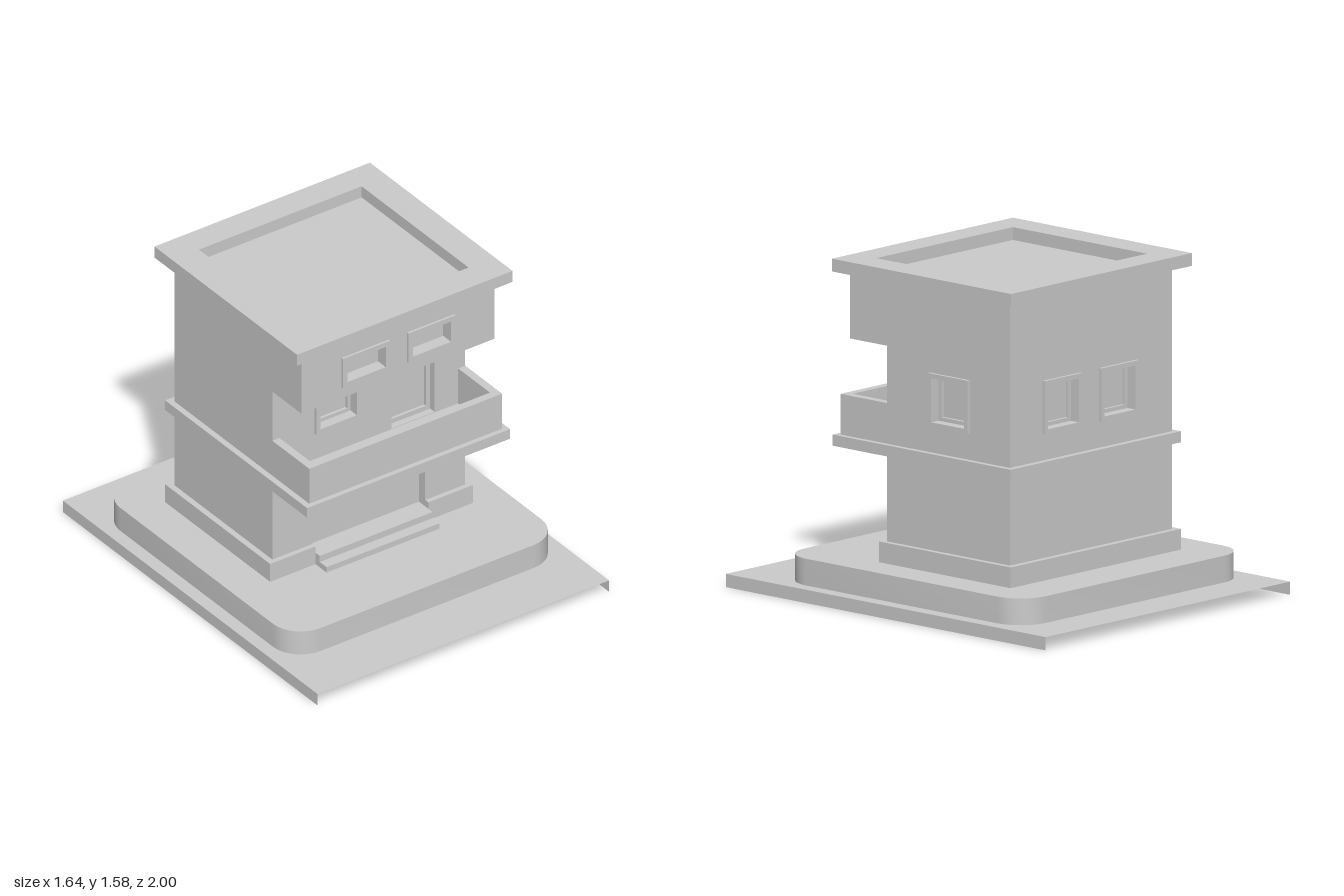
import * as THREE from 'three';
import { toCreasedNormals } from 'three/addons/utils/BufferGeometryUtils.js';

const grey = new THREE.MeshStandardMaterial({ color: 0xcccccc });
const greyThin = new THREE.MeshStandardMaterial({ color: 0xcccccc, side: THREE.DoubleSide });

function add(parent, name, geometry, material = grey) {
  const mesh = new THREE.Mesh(geometry, material);
  mesh.name = name;
  parent.add(mesh);
  return mesh;
}

// Box given by its limits on each axis
function box(parent, name, [x0, x1], [y0, y1], [z0, z1]) {
  const g = new THREE.BoxGeometry(x1 - x0, y1 - y0, z1 - z0);
  g.translate((x0 + x1) / 2, (y0 + y1) / 2, (z0 + z1) / 2);
  return add(parent, name, g);
}

function trace(path, [x0, x1, y0, y1]) {
  path.moveTo(x0, y0);
  path.lineTo(x1, y0);
  path.lineTo(x1, y1);
  path.lineTo(x0, y1);
  path.closePath();
  return path;
}

// Upright plate with rectangular holes, from z = back to z = front
function plate(parent, name, rect, holes, back, front) {
  const shape = trace(new THREE.Shape(), rect);
  for (const h of holes) shape.holes.push(trace(new THREE.Path(), h));
  const g = new THREE.ExtrudeGeometry(shape, { depth: front - back, bevelEnabled: false });
  g.translate(0, 0, back);
  return add(parent, name, g);
}

const inset = ([x0, x1, y0, y1], d) => [x0 + d, x1 - d, y0 + d, y1 - d];

const WALL = 0.07;

// Wall facing local +z with recessed openings: { rect, rim, sash, lip }
function wall(parent, name, rect, openings) {
  const group = new THREE.Group();
  group.name = name;
  parent.add(group);
  plate(group, name + 'Panel', rect, openings.map(o => inset(o.rect, o.rim)), -WALL, 0);
  for (const o of openings) {
    const hole = inset(o.rect, o.rim);
    if (o.lip) plate(group, 'windowFrame', o.rect, [hole], 0, o.lip);
    if (o.sash) plate(group, 'sash', hole, [inset(hole, o.sash)], -0.055, -0.035);
    box(group, 'pane', hole.slice(0, 2), hole.slice(2), [-WALL, -0.05]);
  }
  return group;
}

const squareWindow = (x, y) =>
  ({ rect: [x, x + 0.25, y, y + 0.25], rim: 0.022, sash: 0.018, lip: 0.015 });
const wideWindow = (x) =>
  ({ rect: [x, x + 0.265, 1.26, 1.42], rim: 0.025, sash: 0, lip: 0.012 });

export function createModel() {
  const model = new THREE.Group();
  model.name = 'house';

  // Ground sheet with two folded-down sides
  const ground = add(model, 'groundSheet', new THREE.PlaneGeometry(1.64, 2), greyThin);
  ground.rotation.x = -Math.PI / 2;
  ground.position.y = 0.062;
  for (const s of [-1, 1]) {
    const flap = add(model, 'groundFlap', new THREE.PlaneGeometry(2, 0.062), greyThin);
    flap.rotation.y = s * Math.PI / 2;
    flap.position.set(s * 0.82, 0.031, 0);
  }

  // Plinth with rounded corners
  const w = 0.755, d = 0.755, r = 0.155;
  const outline = new THREE.Shape();
  outline.absarc(w - r, d - r, r, 0, Math.PI / 2);
  outline.absarc(r - w, d - r, r, Math.PI / 2, Math.PI);
  outline.absarc(r - w, r - d, r, Math.PI, Math.PI * 1.5);
  outline.absarc(w - r, r - d, r, Math.PI * 1.5, Math.PI * 2);
  const plinthGeo = new THREE.ExtrudeGeometry(outline, { depth: 0.125, bevelEnabled: false, curveSegments: 4 });
  const plinth = add(model, 'plinth', toCreasedNormals(plinthGeo, 0.7));
  plinth.rotation.x = -Math.PI / 2;
  plinth.position.set(0, 0.063, -0.04);

  const X = [-0.53, 0.555];      // main walls
  const XB = [-0.56, 0.582];     // base and belt course
  const door = [-0.305, 0.33];   // entrance recess

  // Ground floor with a recessed entrance
  box(model, 'groundFloor', X, [0.188, 0.69], [-0.53, 0.19]);
  box(model, 'entranceLintel', door, [0.615, 0.69], [0.19, 0.24]);
  box(model, 'baseCourse', XB, [0.188, 0.285], [-0.56, 0.185]);
  for (const [a, b, c] of [[X[0], door[0], XB[0]], [door[1], X[1], XB[1]]]) {
    box(model, 'entrancePier', [a, b], [0.188, 0.69], [0.19, 0.24]);
    const base = a < 0 ? [c, b] : [a, c];
    box(model, 'basePier', base, [0.188, 0.285], [0.185, 0.265]);
  }
  box(model, 'lowerStep', door, [0.188, 0.217], [0.18, 0.352]);
  box(model, 'upperStep', door, [0.217, 0.25], [0.18, 0.298]);

  // Belt course, which carries the balcony
  box(model, 'beltCourse', XB, [0.69, 0.742], [-0.56, 0.555]);

  // Middle floor: core with walls around it
  const xr = X[1] - WALL;
  box(model, 'middleCore', [X[0], xr], [0.74, 1.2], [-0.53 + WALL, 0.24 - WALL]);
  wall(model, 'balconyWall', [X[0], xr, 0.742, 1.2], [
    squareWindow(-0.293, 0.882),
    { rect: [0.14, 0.383, 0.745, 1.132], rim: 0, sash: 0.024, lip: 0 },
  ]).position.z = 0.24;
  const back = wall(model, 'backWall', [-xr, -X[0], 0.742, 1.2],
    [squareWindow(-0.337, 0.865), squareWindow(0.042, 0.865)]);
  back.rotation.y = Math.PI;
  back.position.z = -0.53;
  const side = wall(model, 'sideWall', [-0.24, 0.53, 0.742, 1.2], [squareWindow(0.03, 0.865)]);
  side.rotation.y = Math.PI / 2;
  side.position.x = X[1];

  // Balcony parapet
  const t = 0.04;
  box(model, 'parapetFront', X, [0.742, 0.932], [0.53 - t, 0.53]);
  box(model, 'parapetSide', [X[0], X[0] + t], [0.742, 0.932], [0.24, 0.53 - t]);
  box(model, 'parapetSide', [X[1] - t, X[1]], [0.742, 0.932], [0.24, 0.53 - t]);

  // Top floor, overhanging the balcony
  box(model, 'topCore', X, [1.2, 1.515], [-0.53, 0.47 - WALL]);
  wall(model, 'topFrontWall', [...X, 1.2, 1.515], [wideWindow(-0.305), wideWindow(0.062)]).position.z = 0.47;

  // Roof rim around a sunken deck
  const rim = plate(model, 'roofRim', [-0.595, 0.617, -0.525, 0.595],
    [[-0.445, 0.47, -0.385, 0.455]], 0, 0.06);
  rim.rotation.x = -Math.PI / 2;
  rim.position.y = 1.515;

  return model;
}
